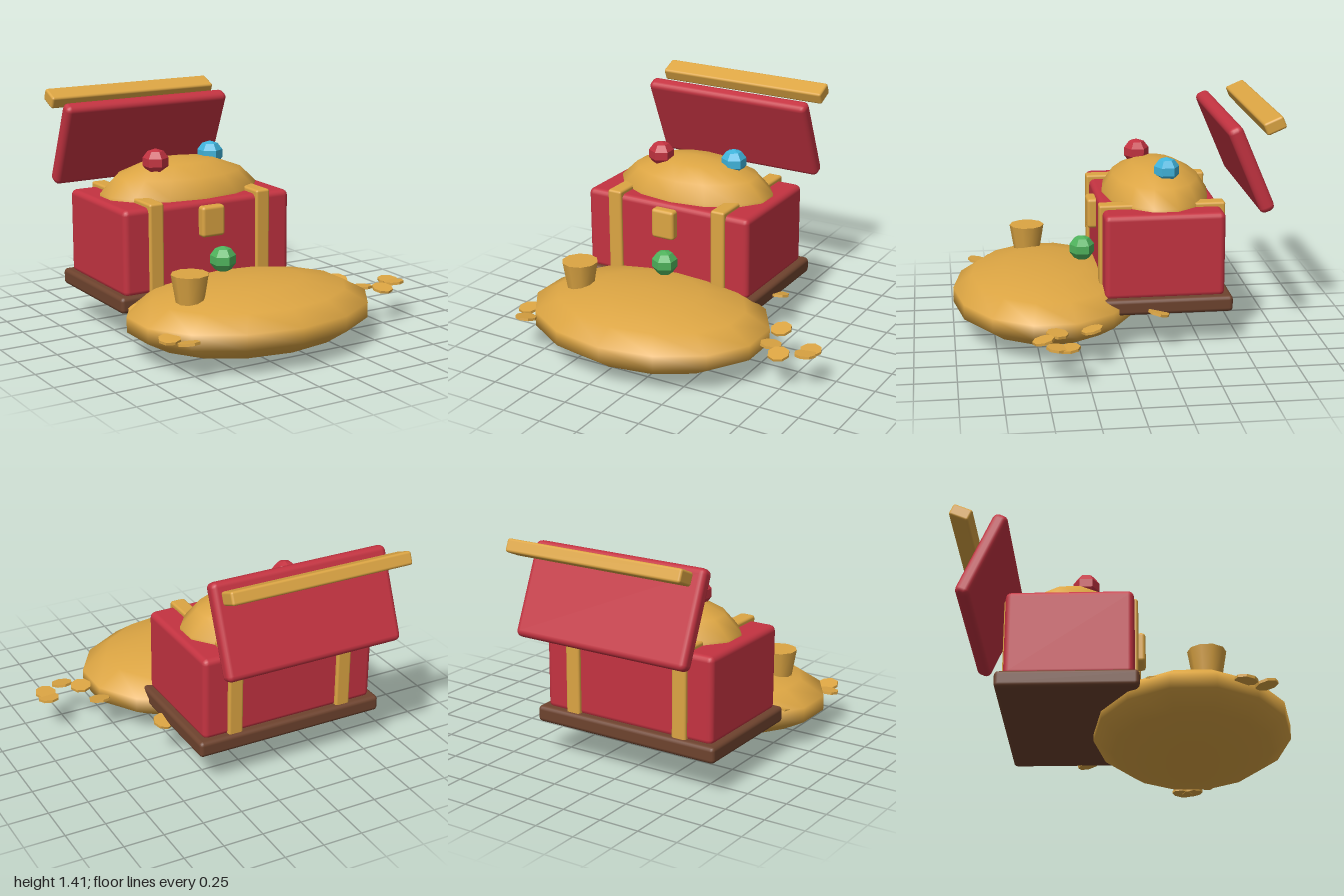
import * as THREE from 'three';
import { RoundedBoxGeometry } from 'three/addons/geometries/RoundedBoxGeometry.js';

const mat = (name, color, flatShading = false) => {
  const m = new THREE.MeshStandardMaterial({ color, flatShading });
  m.name = name;
  return m;
};

export function createModel() {
  const gold = mat('gold', 0xdca543);
  const goldFlat = gold.clone();
  goldFlat.flatShading = true;
  const red = mat('red', 0xc43341);
  const brown = mat('brown wood', 0x6e432e);
  const ruby = mat('ruby', 0xc43341, true);
  const sapphire = mat('sapphire', 0x40b4dc, true);
  const emerald = mat('emerald', 0x4fb35c, true);

  const model = new THREE.Group();
  model.name = 'treasureChest';

  const add = (name, geometry, material, x, y, z, rx = 0, rz = 0) => {
    const mesh = new THREE.Mesh(geometry, material);
    mesh.name = name;
    mesh.position.set(x, y, z);
    mesh.rotation.set(rx, 0, rz);
    model.add(mesh);
    return mesh;
  };
  const rounded = (w, h, d, r) => new RoundedBoxGeometry(w, h, d, 2, r);

  // Low-poly ellipsoid with a vertex on the z axis
  const ellipsoid = (rx, ry, rz, sides, rings) =>
    new THREE.SphereGeometry(1, sides, rings).rotateY(Math.PI / 2).scale(rx, ry, rz);

  // Chest body, base and wrapped straps
  add('chestBody', rounded(1.15, 0.53, 0.735, 0.035), red, -0.265, 0.565, -0.278);
  add('chestBase', rounded(1.235, 0.1, 0.81, 0.025), brown, -0.263, 0.265, -0.285);
  for (const x of [-0.632, 0.108])
    add('strap', rounded(0.096, 0.56, 0.777, 0.015), gold, x, 0.576, -0.28);
  add('lock', rounded(0.157, 0.19, 0.07, 0.02), gold, -0.262, 0.71, 0.11);

  // Open lid, leaning forward, with a trim bar above
  const tilt = 0.405;
  add('lid', rounded(1.15, 0.57, 0.095, 0.035), red, -0.265, 1.085, -0.795, tilt);
  add('lidTrim', rounded(1.165, 0.08, 0.128, 0.015), gold, -0.262, 1.358, -0.926, tilt);

  // Heaps of gold
  add('chestHeap', ellipsoid(0.537, 0.25, 0.343, 14, 7), gold, -0.262, 0.79, -0.288);
  add('groundHeap', ellipsoid(0.793, 0.21, 0.597, 14, 7), gold, -0.182, 0.213, 0.415);

  // Cup
  add('cup', new THREE.CylinderGeometry(0.112, 0.08, 0.19, 10), gold, -0.636, 0.43, 0.5);

  // Gems
  const gem = ellipsoid(0.083, 0.081, 0.083, 6, 5);
  add('rubyGem', gem, ruby, -0.47, 1.04, -0.203);
  add('sapphireGem', gem, sapphire, -0.015, 1.025, -0.328);
  add('emeraldGem', gem, emerald, -0.223, 0.48, 0.178);

  // Scattered coins: x, y, z, tilt about x, tilt about z
  const coin = new THREE.CylinderGeometry(0.066, 0.066, 0.016, 8);
  [
    [0.37, 0.235, -0.228, -0.25, 0.05],
    [0.607, 0.233, 0.203, 0.23, 0.05],
    [0.645, 0.232, 0.412, -0.1, -0.05],
    [0.883, 0.23, 0.365, 0.1, 0],
    [0.878, 0.232, 0.43, -0.1, 0.03],
    [0.74, 0.23, 0.5, 0.2, 0],
    [-0.885, 0.233, 0.705, 0.12, 0.05],
    [-0.826, 0.23, 0.82, -0.2, 0],
    [-0.82, 0.27, 0.22, 0.1, 0.25],
  ].forEach(([x, y, z, rx, rz]) => add('coin', coin, goldFlat, x, y, z, rx, rz));

  return model;
}
